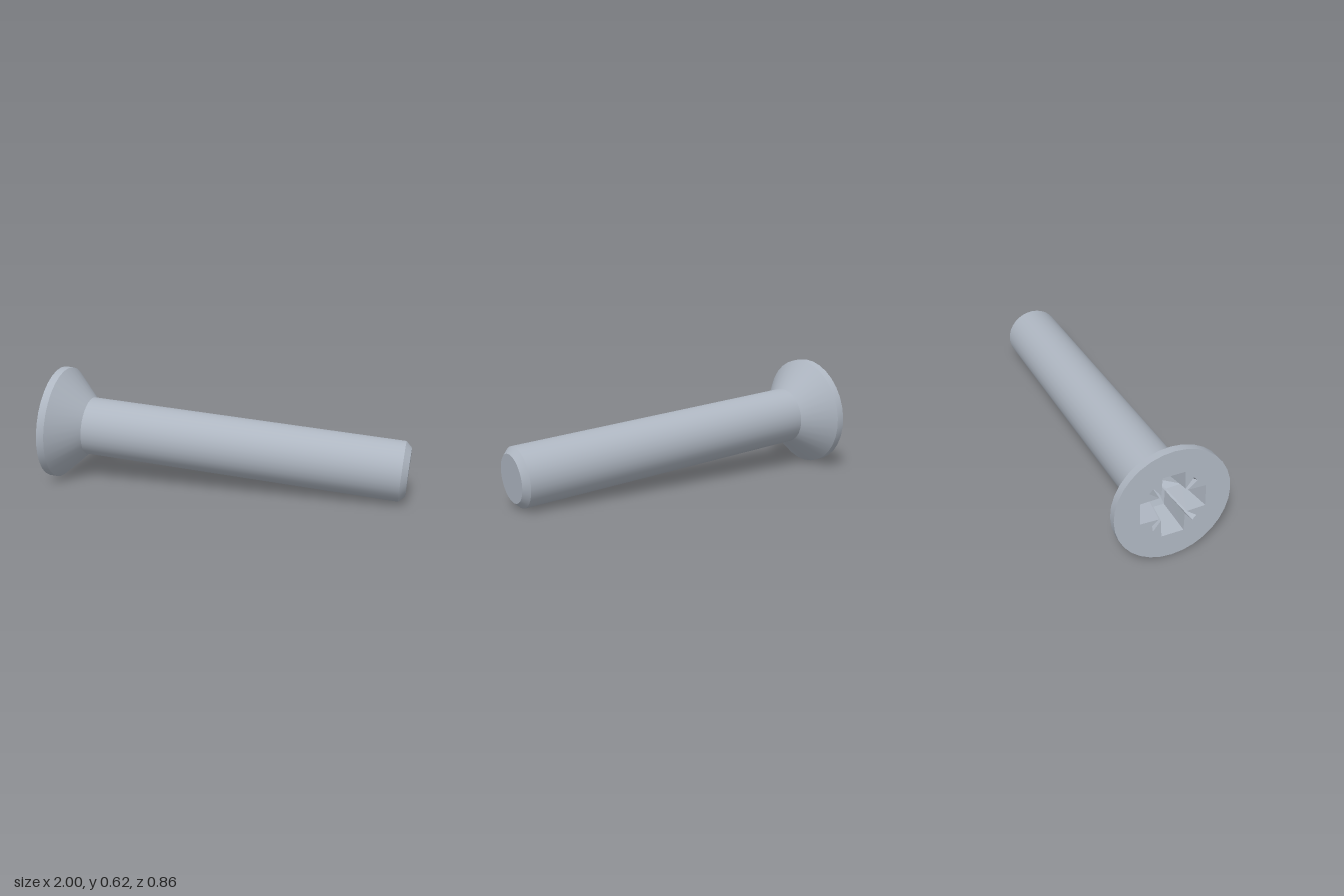
import * as THREE from 'three';
import { toCreasedNormals } from 'three/addons/utils/BufferGeometryUtils.js';

const steel = new THREE.MeshStandardMaterial({ color: 0xaeb6c1 });
steel.name = 'steel';

const LENGTH = 1.952, HEAD_R = 0.31, SHANK_R = 0.16, CHAMFER = 0.032;

// Cross outline with four broad arms and four thin diagonal slots, counter-clockwise.
function crossOutline({ reach, half, corner, slot, tip }) {
  const quadrant = [
    [reach, -half], [reach, half],
    [corner, corner - slot], [tip + slot, tip - slot],
    [tip - slot, tip + slot], [corner - slot, corner],
  ];
  const points = [];
  for (let q = 0; q < 4; q++) {
    for (const [x, y] of quadrant) {
      points.push(new THREE.Vector2(x, y).rotateAround(new THREE.Vector2(), q * Math.PI / 2));
    }
  }
  return points;
}

// Tapered walls between the two outlines and a shallow conical floor.
function recessGeometry(top, bottom, depth, coneDepth) {
  const positions = [];
  const add = (p, z) => positions.push(p.x, p.y, z);
  const centre = new THREE.Vector2();
  top.forEach((a0, i) => {
    const j = (i + 1) % top.length;
    const a1 = top[j], b0 = bottom[i], b1 = bottom[j];
    add(a0, 0); add(a1, 0); add(b1, -depth);
    add(a0, 0); add(b1, -depth); add(b0, -depth);
    add(b0, -depth); add(b1, -depth); add(centre, -coneDepth);
  });
  const geometry = new THREE.BufferGeometry();
  geometry.setAttribute('position', new THREE.Float32BufferAttribute(positions, 3));
  geometry.computeVertexNormals();
  return geometry;
}

function addPart(parent, name, geometry) {
  const mesh = new THREE.Mesh(geometry, steel);
  mesh.name = name;
  parent.add(mesh);
}

// Solid of revolution; profile is [radius, depth below the head face], tip first.
function turned(profile) {
  const points = profile.map(([r, t]) => new THREE.Vector2(r, -t));
  const geometry = new THREE.LatheGeometry(points, 32).rotateX(Math.PI / 2);
  return toCreasedNormals(geometry, 0.5);
}

export function createModel() {
  const model = new THREE.Group();
  model.name = 'countersunkScrew';

  // Built with the head face at z = 0 and the shank running towards -z
  const screw = new THREE.Group();
  screw.name = 'screw';
  model.add(screw);

  addPart(screw, 'shank', turned([
    [0, LENGTH], [SHANK_R - CHAMFER, LENGTH], [SHANK_R, LENGTH - CHAMFER], [SHANK_R, 0.192],
  ]));
  addPart(screw, 'countersunkHead', turned([[SHANK_R, 0.192], [HEAD_R, 0.042], [HEAD_R, 0]]));

  // Flat head face with the driver recess cut out
  const top = crossOutline({ reach: 0.175, half: 0.06, corner: 0.075, slot: 0.011, tip: 0.117 });
  const bottom = crossOutline({ reach: 0.14, half: 0.045, corner: 0.055, slot: 0.006, tip: 0.06 });
  const rim = [];
  for (let i = 0; i < 32; i++) {
    const a = i * Math.PI / 16;
    rim.push(new THREE.Vector2(HEAD_R * Math.cos(a), HEAD_R * Math.sin(a)));
  }
  const face = new THREE.Shape(rim);
  face.holes.push(new THREE.Path(top));
  addPart(screw, 'headFace', new THREE.ShapeGeometry(face));
  addPart(screw, 'driverRecess', recessGeometry(top, bottom, 0.18, 0.23));

  // Lean the screw so it rests on the head rim and the tip
  const axis = new THREE.Vector3(1, -0.08, 0.213).normalize();
  screw.position.set(-0.931, 0.312, -0.127);
  screw.lookAt(screw.position.clone().sub(axis));
  return model;
}
